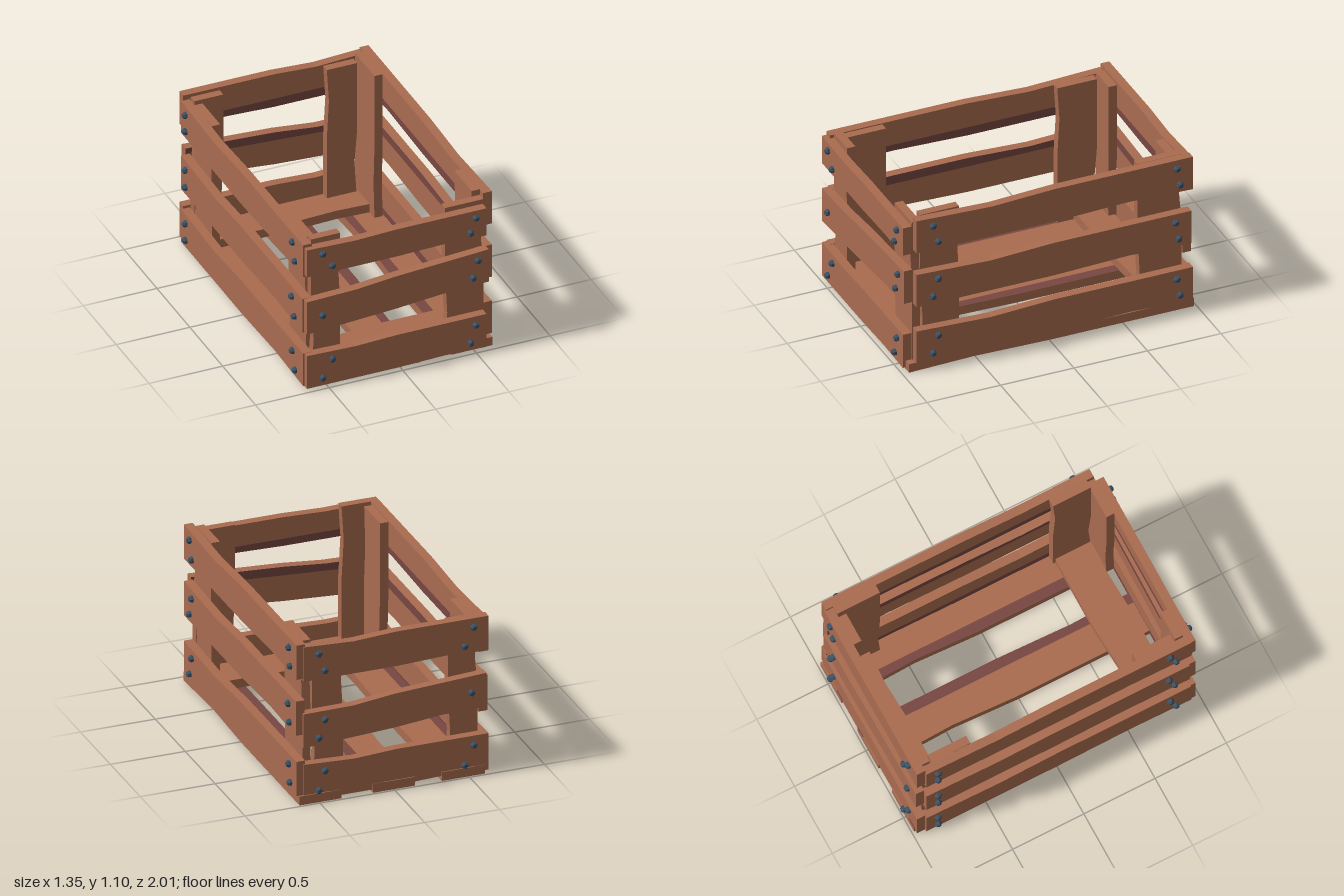
import * as THREE from 'three';

const wood = new THREE.MeshStandardMaterial({ color: 0xa96c50 });
wood.name = 'wood';
const darkWood = new THREE.MeshStandardMaterial({ color: 0x784742 });
darkWood.name = 'dark wood';
const steel = new THREE.MeshStandardMaterial({ color: 0x3b5266 });
steel.name = 'blue steel';

// Worn plank along local x, outer face at z = 0. ends = [startLow, startHigh, endLow, endHigh].
// strip paints a quarter of the inner face dark along its 'low' or 'high' edge.
function plank(name, x0, x1, ends, thick, strip, wear = 1) {
  const times = [0, 0.27, 0.5, 0.77, 1];
  const split = strip === 'high' ? 0.75 : 0.25;
  const rings = times.map((t, i) => {
    const x = THREE.MathUtils.lerp(x0, x1, t);
    const low = THREE.MathUtils.lerp(ends[0], ends[2], t);
    const high = THREE.MathUtils.lerp(ends[1], ends[3], t);
    const lo = i === 3 ? low + 0.016 * wear : low;
    const hi = i === 1 ? high - 0.02 * wear : high;
    const mid = THREE.MathUtils.lerp(low, high, split);
    return [[x, lo, 0], [x, hi, 0], [x, hi, -thick], [x, mid, -thick], [x, lo, -thick]];
  });
  const light = [], dark = [];
  const quad = (out, a, b, c, d) => out.push(...a, ...b, ...c, ...a, ...c, ...d);
  const darkSide = strip === 'high' ? 2 : strip === 'low' ? 3 : -1;
  for (let i = 0; i < rings.length - 1; i++) {
    const p = rings[i], q = rings[i + 1];
    for (let j = 0; j < 5; j++) {
      const k = (j + 1) % 5;
      quad(j === darkSide ? dark : light, p[j], q[j], q[k], p[k]);
    }
  }
  const s = rings[0], e = rings[rings.length - 1];
  quad(light, s[0], s[1], s[2], s[4]);
  quad(light, e[4], e[2], e[1], e[0]);

  const geo = new THREE.BufferGeometry();
  geo.setAttribute('position', new THREE.Float32BufferAttribute([...light, ...dark], 3));
  geo.computeVertexNormals();
  geo.addGroup(0, light.length / 3, 0);
  if (dark.length) geo.addGroup(light.length / 3, dark.length / 3, 1);
  const mesh = new THREE.Mesh(geo, [wood, darkWood]);
  mesh.name = name;
  return mesh;
}

// Turn a mesh so its local axes point along the given directions
function orient(mesh, x, y, z) {
  const m = new THREE.Matrix4().makeBasis(
    new THREE.Vector3(...x), new THREE.Vector3(...y), new THREE.Vector3(...z));
  mesh.quaternion.setFromRotationMatrix(m);
  return mesh;
}

// Hexagonal bolt head with a chamfered top
function boltGeometry() {
  const profile = [[0.023, 0], [0.023, 0.014], [0.014, 0.026], [0, 0.026]]
    .map(([r, y]) => new THREE.Vector2(r, y));
  const geo = new THREE.LatheGeometry(profile, 6).rotateX(Math.PI / 2).toNonIndexed();
  geo.computeVertexNormals();
  return geo;
}

// Walls seen from outside: board span, bottoms and heights from low to high, slope of the
// middle board, stile spans, and bolt distances [upper, lower] from each board end
const WALLS = [
  {
    name: 'frontWall', turn: 0, face: 0.975, start: -0.64, end: 0.58, middleEnd: 0.595,
    bottoms: [0.012, 0.408, 0.825], heights: [0.239, 0.235, 0.197], slope: 0.076, wear: 0.5,
    stiles: [[-0.585, -0.388], [0.325, 0.585]], stileTop: 1.055,
    startBolts: [0.105, 0.17], endBolts: [0.075, 0.11], single: 'start',
  },
  {
    name: 'leftWall', turn: Math.PI / 2, face: 0.645, start: -0.91, end: 0.97, middleEnd: 0.96,
    bottoms: [0.06, 0.47, 0.859], heights: [0.235, 0.235, 0.235], slope: 0, wear: 1,
    stiles: [[-0.86, -0.595], [0.62, 0.92]], stileTop: 1.095,
    startBolts: [0.11, 0.145], endBolts: [0.11, 0.09],
  },
  {
    name: 'backWall', turn: Math.PI, face: 0.978, start: -0.6, end: 0.635, middleEnd: 0.62,
    bottoms: [0.02, 0.385, 0.84], heights: [0.25, 0.232, 0.237], slope: 0.07, wear: 0.8,
    stiles: [[-0.52, -0.315], [0.388, 0.585]], stileTop: 1.055,
    startBolts: [0.1, 0.14], endBolts: [0.1, 0.16], single: 'end',
  },
  {
    name: 'rightWall', turn: -Math.PI / 2, face: 0.65, start: -0.92, end: 0.94, middleEnd: 0.93,
    bottoms: [0.015, 0.4, 0.81], heights: [0.237, 0.245, 0.232], slope: 0, wear: 1,
    stiles: [[-0.85, -0.58], [0.585, 0.85]], stileTop: 1.035,
    startBolts: [0.08, 0.08], endBolts: [0.15, 0.11],
  },
];
const BOARD_NAMES = ['lowerBoard', 'middleBoard', 'upperBoard'];
const THICK = 0.059;

function buildWall(w, boltGeo) {
  const wall = new THREE.Group();
  wall.name = w.name;
  wall.rotation.y = w.turn;

  // Bolts at one board end; the pair leans the other way on the upper board
  const addBolts = (edge, inward, bottom, height, insets, single) => {
    const spots = single ? [[insets[0], 0.5]] : [[insets[0], 0.75], [insets[1], 0.24]];
    for (const [inset, rise] of spots) {
      const bolt = new THREE.Mesh(boltGeo, steel);
      bolt.name = 'bolt';
      bolt.position.set(edge + inward * inset, bottom + height * rise, w.face);
      bolt.rotation.z = inset * 7 + rise;
      wall.add(bolt);
    }
  };

  // Three boards
  w.bottoms.forEach((bottom, level) => {
    const height = w.heights[level];
    const middle = level === 1;
    const endBottom = bottom + (middle ? w.slope : 0);
    const end = middle ? w.middleEnd : w.end;
    const ends = [bottom, bottom + height, endBottom, endBottom + height];
    const strip = middle ? 'high' : 'low';
    const board = plank(BOARD_NAMES[level], w.start, end, ends, THICK, strip, w.wear);
    board.position.z = w.face;
    wall.add(board);

    const [a, b] = w.startBolts;
    const onePerEnd = middle && w.single;
    const leaning = level === 2 || onePerEnd === 'start' ? [a, b] : [b, a];
    addBolts(w.start, 1, bottom, height, leaning, onePerEnd === 'start');
    addBolts(end, -1, endBottom, height, w.endBolts, onePerEnd === 'end');
  });

  // Corner stiles, mirrored so the worn edge faces the middle of the wall
  for (const [x0, x1] of w.stiles) {
    const s = x0 < 0 ? 1 : -1;
    const [from, to] = s > 0 ? [0.06, w.stileTop] : [-w.stileTop, -0.06];
    const [low, high] = s > 0 ? [-x1, -x0] : [x0, x1];
    const stile = plank('cornerStile', from, to, [low, high, low, high], 0.056, null, 0.9);
    stile.position.z = w.face - THICK;
    wall.add(orient(stile, [0, s, 0], [-s, 0, 0], [0, 0, 1]));
  }
  return wall;
}

export function createModel() {
  const crate = new THREE.Group();
  crate.name = 'woodenCrate';
  const boltGeo = boltGeometry();
  for (const w of WALLS) crate.add(buildWall(w, boltGeo));

  // Three floor slats running front to back
  for (const [x0, x1, strip] of [[-0.61, -0.32, 'high'], [-0.14, 0.14, 'low'], [0.35, 0.63, 'high']]) {
    const slat = plank('floorSlat', -0.985, 0.955, [-x1, -x0, -x1, -x0], 0.06, strip);
    crate.add(orient(slat, [0, 0, 1], [-1, 0, 0], [0, -1, 0]));
  }

  // Two crossbars lying on the slats
  for (const [z0, z1] of [[-0.92, -0.69], [0.61, 0.868]]) {
    const bar = plank('floorCrossbar', -0.585, 0.58, [-z1, -z0, -z1, -z0], 0.06, null, 0.9);
    bar.position.y = 0.12;
    crate.add(orient(bar, [1, 0, 0], [0, 0, -1], [0, 1, 0]));
  }
  return crate;
}
